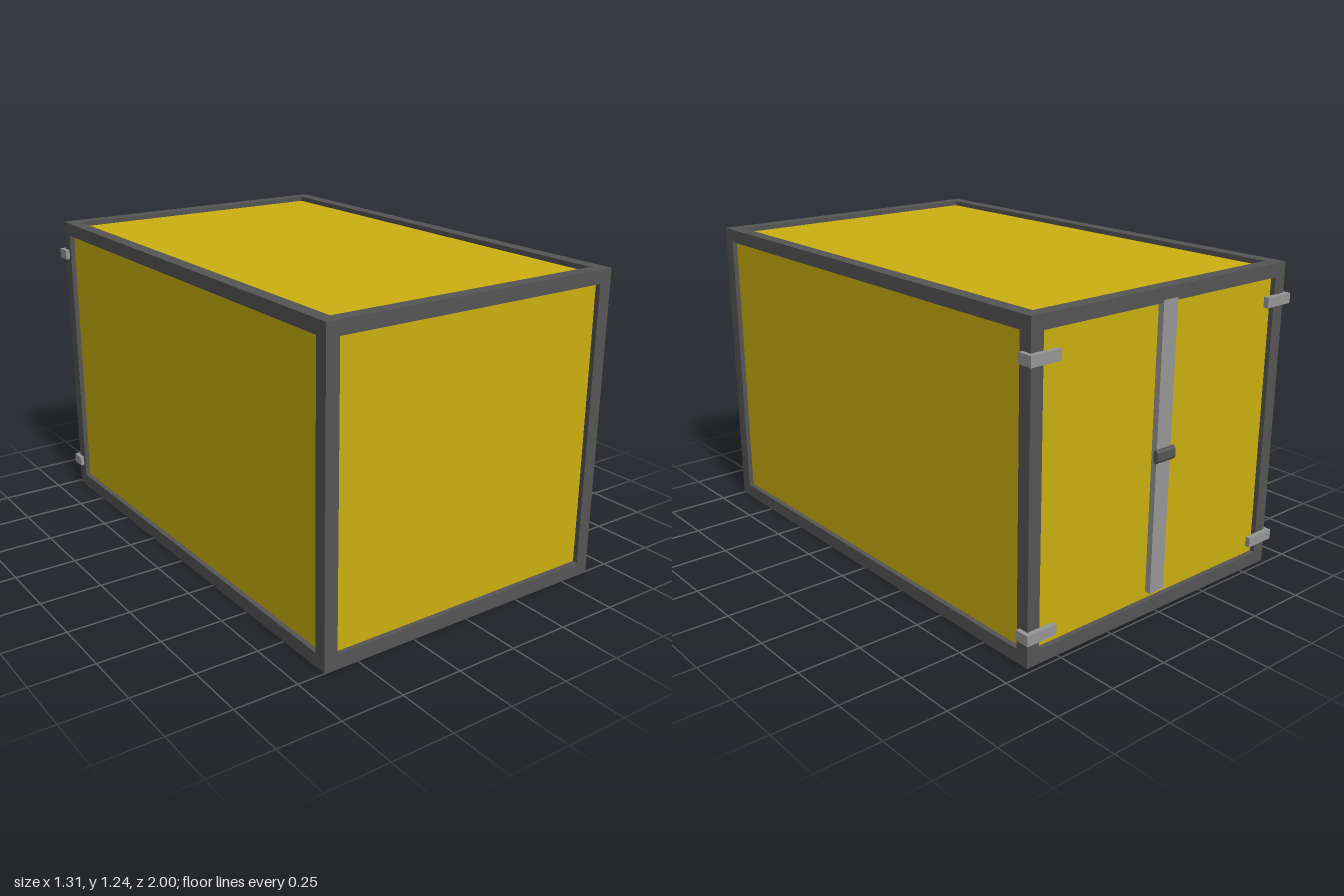
import * as THREE from 'three';

const yellow = new THREE.MeshStandardMaterial({ color: 0xccb010 });
yellow.name = 'yellow panel';
const darkGrey = new THREE.MeshStandardMaterial({ color: 0x555555 });
darkGrey.name = 'dark grey steel';
const lightGrey = new THREE.MeshStandardMaterial({ color: 0x979797 });
lightGrey.name = 'light grey steel';

// Outer limits of the frame, beam width and panel recess
const X = 0.64, H = 1.24, Z0 = -0.98, Z1 = 1.0, B = 0.054, R = 0.02, T = 0.02;

// Box given by its lower and upper limits on each axis
function box(name, material, [x0, x1], [y0, y1], [z0, z1]) {
  const mesh = new THREE.Mesh(new THREE.BoxGeometry(x1 - x0, y1 - y0, z1 - z0), material);
  mesh.position.set((x0 + x1) / 2, (y0 + y1) / 2, (z0 + z1) / 2);
  mesh.name = name;
  return mesh;
}

// Profile in the zy or xz plane, extruded along the remaining axis
function extrude(name, material, points, depth) {
  const shape = new THREE.Shape(points.map(([a, b]) => new THREE.Vector2(a, b)));
  const geometry = new THREE.ExtrudeGeometry(shape, { depth, bevelEnabled: false });
  geometry.translate(0, 0, -depth / 2);
  const mesh = new THREE.Mesh(geometry, material);
  mesh.name = name;
  return mesh;
}

function createFrame() {
  const frame = new THREE.Group();
  frame.name = 'frame';
  const xs = [[-X, -X + B], [X - B, X]], ys = [[0, B], [H - B, H]], zs = [[Z0, Z0 + B], [Z1 - B, Z1]];
  for (const x of xs) {
    for (const z of zs) frame.add(box('cornerPost', darkGrey, x, [0, H], z));
    for (const y of ys) frame.add(box('sideRail', darkGrey, x, y, [Z0 + B, Z1 - B]));
  }
  for (const y of ys) for (const z of zs) frame.add(box('crossRail', darkGrey, [-X + B, X - B], y, z));
  return frame;
}

function createPanels() {
  const panels = new THREE.Group();
  panels.name = 'panels';
  const x = [-X + R, X - R], y = [R, H - R], z = [Z0 + R, Z1 - R];
  panels.add(
    box('floorPanel', yellow, x, [R, R + T], z),
    box('roofPanel', yellow, x, [H - R - T, H - R], z),
    box('frontPanel', yellow, x, y, [Z1 - R - T, Z1 - R]),
    box('rightPanel', yellow, [-X + R, -X + R + T], y, z),
    box('leftPanel', yellow, [X - R - T, X - R], y, z),
    box('rightDoor', yellow, [-X + R, 0], y, [Z0 + R, Z0 + R + T]),
    box('leftDoor', yellow, [0, X - R], y, [Z0 + R, Z0 + R + T])
  );
  return panels;
}

export function createModel() {
  const model = new THREE.Group();
  model.name = 'container';
  model.add(createFrame(), createPanels());

  // Strip covering the joint of the two doors
  model.add(box('doorStrip', lightGrey, [-0.036, 0.036], [0.08, 1.195], [-0.984, Z0 + R]));

  // Latch with chamfered outer edges
  const latch = extrude('doorLatch', darkGrey,
    [[0.98, 0.602], [0.993, 0.602], [0.999, 0.61], [0.999, 0.643], [0.993, 0.651], [0.98, 0.651]], 0.095);
  latch.rotation.y = Math.PI / 2;
  model.add(latch);

  // Angled hinges wrapped around the rear corner posts
  for (const side of [-1, 1]) {
    for (const y of [0.12, 1.1]) {
      const points = [[0.525, 1], [0.657, 1], [0.657, 0.94], [X, 0.94], [X, 0.98], [0.525, 0.98]];
      const hinge = extrude('hinge', lightGrey, points.map(([a, b]) => [a * side, b]), 0.04);
      hinge.rotation.x = -Math.PI / 2;
      hinge.position.y = y;
      model.add(hinge);
    }
  }
  return model;
}
